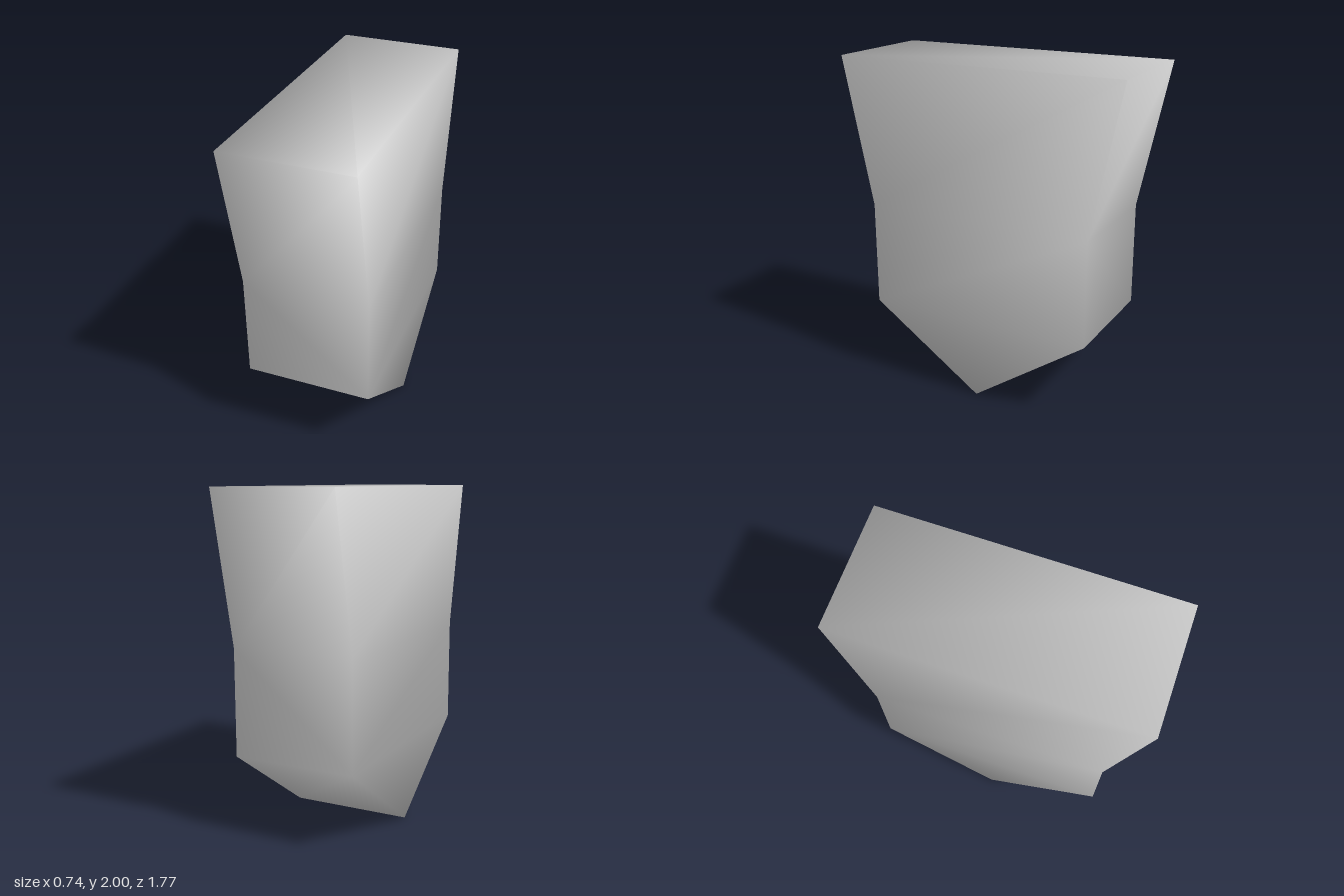
import * as THREE from 'three';

// Shield-shaped slab: seven outline points [z, y], anticlockwise seen from +x.
const OUTLINE = [[0, 0], [-0.7, 0.48], [-0.7, 1.11], [-0.885, 2], [0.885, 2], [0.7, 1.11], [0.7, 0.48]];
const HALF_WIDTH = 0.372;
const N = OUTLINE.length;

// Corner reached by turning the slab half way round its vertical axis.
const turned = (i) => (i < N ? N + ((N - i) % N) : (2 * N - i) % N);

function slabGeometry() {
  const corners = [HALF_WIDTH, -HALF_WIDTH].flatMap((x) => OUTLINE.map(([z, y]) => new THREE.Vector3(x, y, z)));

  const half = [
    [0, 1, 6], [1, 2, 6], [2, 5, 6], [2, 3, 5], [3, 4, 5], // left cap
    [0, 6, 7], [6, 13, 7], // lower front slope
    [6, 5, 12], [6, 12, 13], // upright front
    [5, 4, 12], [4, 11, 12], // upper front flare
    [4, 3, 10], // half of the top
  ];
  const faces = [...half, ...half.map((f) => f.map(turned))];

  // Smooth shading: every face counts equally at its corners.
  const normals = corners.map(() => new THREE.Vector3());
  const normal = new THREE.Vector3();
  for (const f of faces) {
    new THREE.Triangle(...f.map((i) => corners[i])).getNormal(normal);
    f.forEach((i) => normals[i].add(normal));
  }
  normals.forEach((n) => n.normalize());

  const flat = (list) => new THREE.Float32BufferAttribute(list.flatMap((v) => v.toArray()), 3);
  const geometry = new THREE.BufferGeometry();
  geometry.setAttribute('position', flat(corners));
  geometry.setAttribute('normal', flat(normals));
  geometry.setIndex(faces.flat());
  return geometry;
}

export function createModel() {
  const lightGrey = new THREE.MeshStandardMaterial({ color: 0xcccccc });
  lightGrey.name = 'light grey';

  const slab = new THREE.Mesh(slabGeometry(), lightGrey);
  slab.name = 'shieldSlab';

  const model = new THREE.Group();
  model.name = 'shieldBlock';
  model.add(slab);
  return model;
}
